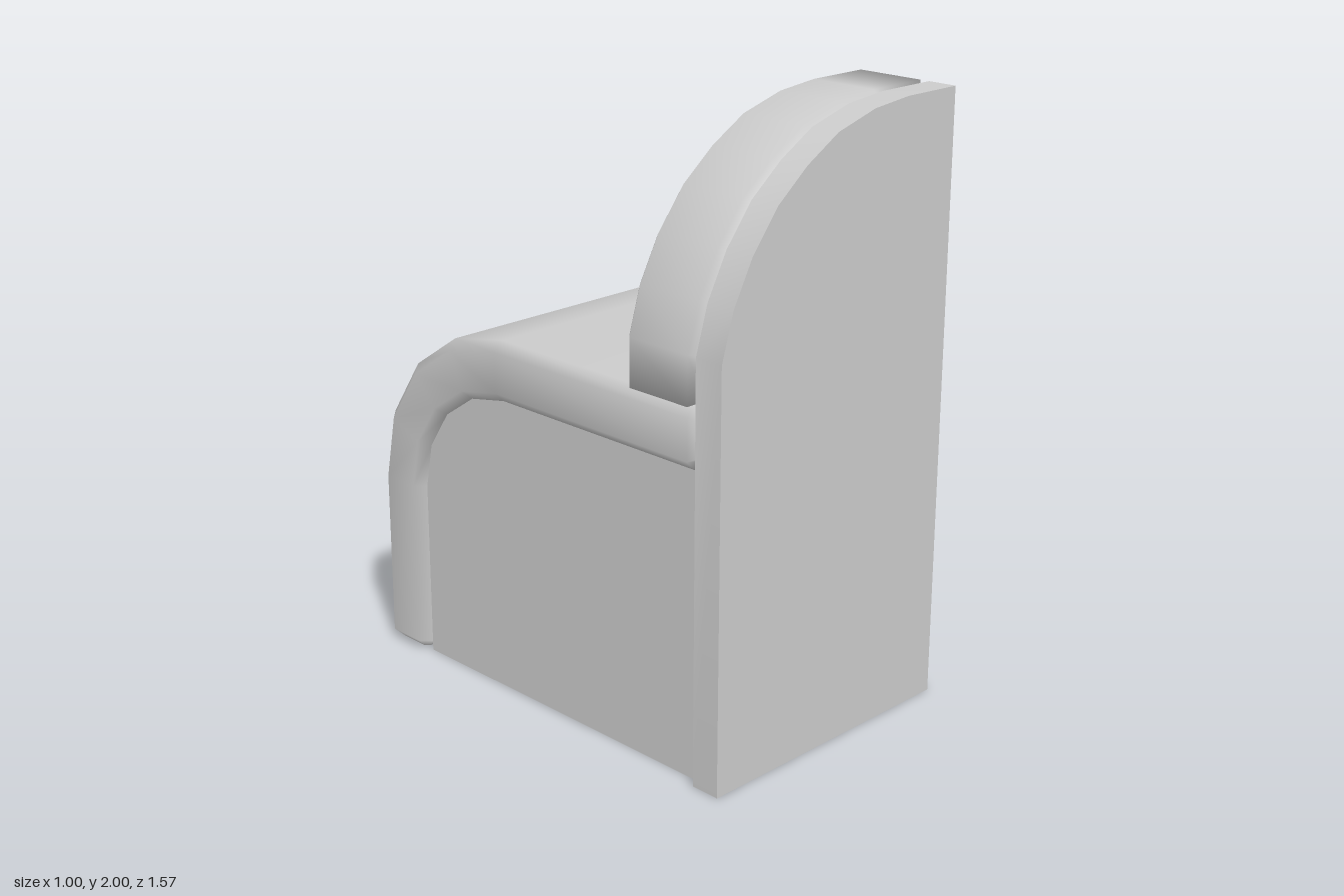
import * as THREE from 'three';
import { toCreasedNormals } from 'three/addons/utils/BufferGeometryUtils.js';

const BEVEL = 0.033;
const material = new THREE.MeshStandardMaterial({ color: 0xcccccc });
const thinMaterial = new THREE.MeshStandardMaterial({ color: 0xcccccc, side: THREE.DoubleSide });

// Shrinks a counter-clockwise outline inward by d with mitred corners
function inset(points, d) {
  const n = points.length;
  return points.map((p, i) => {
    const a = p.clone().sub(points[(i + n - 1) % n]).normalize();
    const b = points[(i + 1) % n].clone().sub(p).normalize();
    const na = new THREE.Vector2(-a.y, a.x);
    const nb = new THREE.Vector2(-b.y, b.x);
    return na.clone().add(nb).multiplyScalar(d / (1 + na.dot(nb))).add(p);
  });
}

// Smooth skin through a list of rings, closed by flat end caps
function loft(name, rings) {
  const n = rings[0].length;
  const group = new THREE.Group();
  group.name = name;
  const skinIndex = [];
  for (let r = 0; r < rings.length - 1; r++) {
    for (let i = 0; i < n; i++) {
      const j = (i + 1) % n, a = r * n, b = a + n;
      skinIndex.push(a + i, a + j, b + j, a + i, b + j, b + i);
    }
  }
  const startIndex = [], endIndex = [];
  for (let i = 1; i < n - 1; i++) {
    startIndex.push(0, i + 1, i);
    endIndex.push(0, i, i + 1);
  }
  const add = (part, points, index) => {
    const geometry = new THREE.BufferGeometry().setFromPoints(points);
    geometry.setIndex(index);
    geometry.computeVertexNormals();
    const mesh = new THREE.Mesh(geometry, material);
    mesh.name = name + part;
    group.add(mesh);
  };
  add('Skin', rings.flat(), skinIndex);
  add('StartCap', rings[0], startIndex);
  add('EndCap', rings[rings.length - 1], endIndex);
  return group;
}

export function createModel() {
  const model = new THREE.Group();
  model.name = 'seatUnit';

  // Outline shared by the end panel and the upright cushion: one rounded shoulder
  const shoulder = (bottom) => [
    [-0.5, bottom], [0.5, bottom], [0.5, 2], [0.28, 2], [0.13, 1.985], [-0.03, 1.94],
    [-0.16, 1.865], [-0.28, 1.77], [-0.38, 1.645], [-0.455, 1.505], [-0.5, 1.355],
  ].map(([x, y]) => new THREE.Vector2(x, y));

  // End panel
  const panelGeometry = new THREE.ExtrudeGeometry(new THREE.Shape(shoulder(0)), { depth: 0.1, bevelEnabled: false });
  const panel = new THREE.Mesh(toCreasedNormals(panelGeometry, 0.6), material);
  panel.name = 'endPanel';
  panel.position.z = 0.685;
  model.add(panel);

  // Upright cushion with bevelled ends
  const full = shoulder(1.2), small = inset(full, BEVEL);
  const flatRing = (outline, z) => outline.map((p) => new THREE.Vector3(p.x, p.y, z));
  model.add(loft('backCushion', [
    flatRing(small, 0.385), flatRing(full, 0.385 + BEVEL),
    flatRing(full, 0.685 - BEVEL), flatRing(small, 0.685),
  ]));

  // Seat pad: chamfered section swept along the top and down over the edge
  const w = 0.5, t = 0.1, b = BEVEL;
  const section = [
    [w, -t + b], [w, t - b], [w - b, t], [-w + b, t],
    [-w, t - b], [-w, -t + b], [-w + b, -t], [w - b, -t],
  ].map(([x, y]) => new THREE.Vector2(x, y));
  const endSection = inset(section, b);
  const padRing = (outline, y, z, angle) => outline.map((p) =>
    new THREE.Vector3(p.x, y - p.y * Math.cos(angle), z + p.y * Math.sin(angle)));
  const padRings = [padRing(endSection, 1.1, 0.685, 0), padRing(section, 1.1, 0.685 - b, 0)];
  for (let i = 0; i <= 4; i++) {
    const a = (i / 4) * Math.PI / 2;
    padRings.push(padRing(section, 0.6 + 0.5 * Math.cos(a), -0.185 - 0.5 * Math.sin(a), a));
  }
  padRings.push(padRing(section, b, -0.685, Math.PI / 2), padRing(endSection, 0, -0.685, Math.PI / 2));
  model.add(loft('seatPad', padRings));

  // Thin side walls under the pad; the base is open below
  const wall = [[0.685, 0], [0.685, 1]].map(([z, y]) => new THREE.Vector2(z, y));
  for (let i = 0; i <= 4; i++) {
    const a = (i / 4) * Math.PI / 2;
    wall.push(new THREE.Vector2(-0.185 - 0.4 * Math.sin(a), 0.6 + 0.4 * Math.cos(a)));
  }
  wall.push(new THREE.Vector2(-0.585, 0));
  const wallGeometry = new THREE.ShapeGeometry(new THREE.Shape(wall)).rotateY(-Math.PI / 2);
  for (const side of [1, -1]) {
    const mesh = new THREE.Mesh(wallGeometry, thinMaterial);
    mesh.name = side > 0 ? 'leftSideWall' : 'rightSideWall';
    mesh.position.x = side * (w - b);
    model.add(mesh);
  }
  return model;
}
